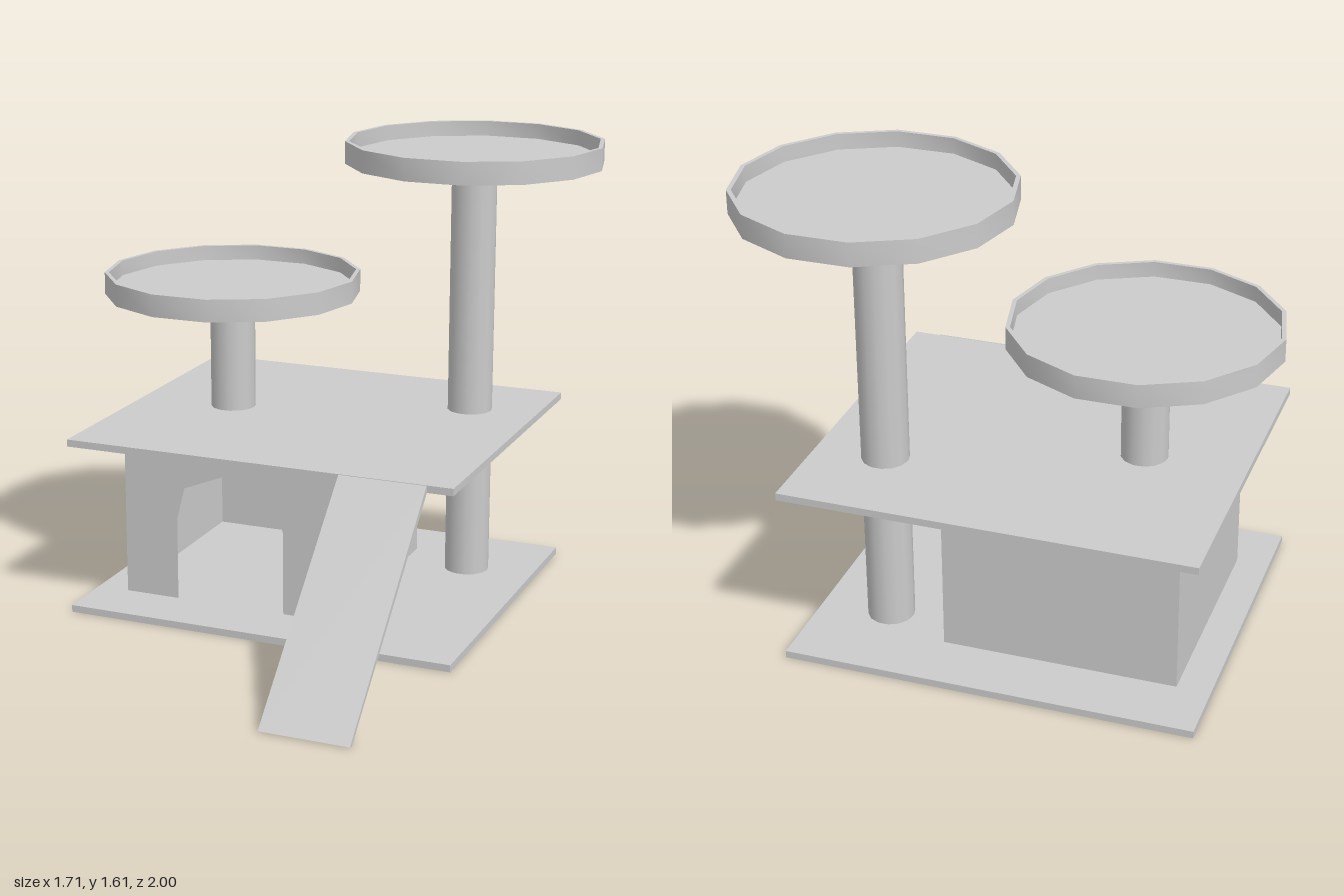
import * as THREE from 'three';
import { toCreasedNormals } from 'three/addons/utils/BufferGeometryUtils.js';

const SIDES = 14;
const BOARD = { x0: -0.755, x1: 0.645, z0: -0.89, z1: 0.335, t: 0.025 };
const HOUSE = { x0: -0.64, x1: 0.165, z0: -0.675, z1: 0.13, y0: 0.025, y1: 0.607 };

export function createModel() {
  const group = new THREE.Group();
  const solid = new THREE.MeshStandardMaterial({ color: 0xcccccc });
  const thin = new THREE.MeshStandardMaterial({ color: 0xcccccc, side: THREE.DoubleSide });

  const add = (name, geometry, x, y, z, material = solid, parent = group) => {
    const mesh = new THREE.Mesh(geometry, material);
    mesh.name = name;
    mesh.position.set(x, y, z);
    parent.add(mesh);
    return mesh;
  };

  // Base and upper platform
  const board = (name, y) => add(
    name,
    new THREE.BoxGeometry(BOARD.x1 - BOARD.x0, BOARD.t, BOARD.z1 - BOARD.z0),
    (BOARD.x0 + BOARD.x1) / 2, y + BOARD.t / 2, (BOARD.z0 + BOARD.z1) / 2);
  board('baseBoard', 0);
  board('upperBoard', 0.607);

  // Posts
  const post = (name, x, z, y0, y1) => add(
    name,
    new THREE.CylinderGeometry(0.08, 0.08, y1 - y0, SIDES, 1, false, Math.PI / 2),
    x, (y0 + y1) / 2, z);
  post('tallPost', 0.4, -0.56, BOARD.t, 1.527);
  post('shortPost', -0.405, -0.277, 0.632, 1.05);

  // Shallow rimmed trays
  const trayProfile = [[0, 0], [0.455, 0], [0.455, 0.079], [0.44, 0.079], [0.44, 0.025], [0, 0.025]]
    .map(([r, y]) => new THREE.Vector2(r, y));
  const tray = (name, x, y, z) => add(
    name,
    toCreasedNormals(new THREE.LatheGeometry(trayProfile, SIDES, Math.PI / 2), 0.6),
    x, y, z);
  tray('highTray', 0.4, 1.526, -0.56);
  tray('lowTray', -0.403, 1.05, -0.277);

  // Hollow house with an arched doorway
  const house = new THREE.Group();
  house.name = 'house';
  group.add(house);
  const { x0, x1, z0, z1, y0, y1 } = HOUSE;
  const front = new THREE.Shape([
    [x0, y0], [-0.44, y0], [-0.44, 0.32], [-0.41, 0.437], [-0.24, 0.505],
    [-0.068, 0.437], [-0.037, 0.32], [-0.037, y0], [x1, y0], [x1, y1], [x0, y1],
  ].map(([x, y]) => new THREE.Vector2(x, y)));
  add('houseFront', new THREE.ShapeGeometry(front), 0, 0, z1, thin, house);
  const midY = (y0 + y1) / 2;
  const back = add('houseBack', new THREE.PlaneGeometry(x1 - x0, y1 - y0),
    (x0 + x1) / 2, midY, z0, thin, house);
  back.rotation.y = Math.PI;
  for (const [name, x, turn] of [['houseRightWall', x0, -1], ['houseLeftWall', x1, 1]]) {
    const wall = add(name, new THREE.PlaneGeometry(z1 - z0, y1 - y0),
      x, midY, (z0 + z1) / 2, thin, house);
    wall.rotation.y = turn * Math.PI / 2;
  }

  // Ramp: side profile (z, y) extruded across its width
  const rampSide = new THREE.Shape([[0.33, 0.612], [0.985, 0], [1, 0.003], [0.34, 0.632]]
    .map(([z, y]) => new THREE.Vector2(z, y)));
  const ramp = new THREE.ExtrudeGeometry(rampSide, { depth: 0.305, bevelEnabled: false });
  ramp.rotateY(-Math.PI / 2);
  add('ramp', ramp, 0.555, 0, 0);

  return group;
}
